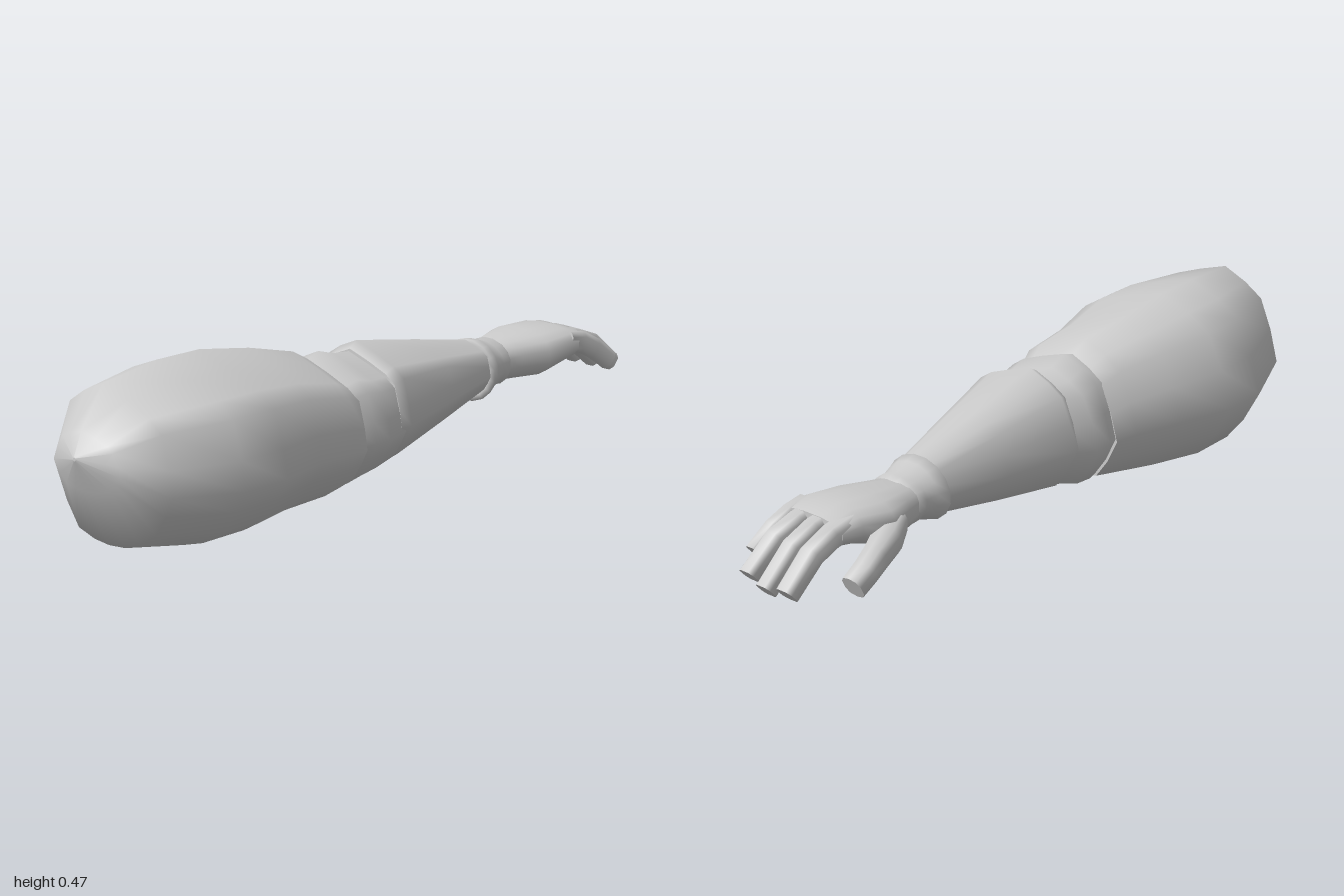
import * as THREE from 'three';

// Uneven arm outline and a regular one, both counter-clockwise seen from +z
const ARM = [[-0.12, 1], [-0.45, 0.85], [-0.71, 0.67], [-0.88, 0.25], [-1, -0.2], [-0.82, -0.6], [-0.62, -0.9], [-0.35, -0.98], [-0.1, -1],
  [0.18, -0.97], [0.43, -0.88], [0.71, -0.69], [0.88, -0.42], [1, -0.17], [0.95, 0.15], [0.84, 0.56], [0.64, 0.71], [0.28, 0.86]];
const regular = (n, power = 1) => Array.from({ length: n }, (_, i) => {
  const a = ((i + 0.5) / n) * Math.PI * 2, c = Math.cos(a), s = Math.sin(a);
  return [Math.sign(c) * Math.abs(c) ** power, Math.sign(s) * Math.abs(s) ** power];
});

const material = new THREE.MeshStandardMaterial({ color: 0xcccccc, side: THREE.DoubleSide });

// Skin over sections [z, cx, cy, rx, ry, tilt], running from +z to -z, with flat caps
function loft(name, outline, sections) {
  const n = outline.length, pos = [], index = [];
  const ring = ([z, cx, cy, rx, ry, tilt = 0]) => {
    for (const [px, py] of outline)
      pos.push(cx + px * rx, cy + py * ry * Math.cos(tilt), z - py * ry * Math.sin(tilt));
  };
  sections.forEach(ring);
  for (let i = 0; i < sections.length - 1; i++)
    for (let j = 0; j < n; j++) {
      const a = i * n + j, b = i * n + (j + 1) % n;
      index.push(a, a + n, b, b, a + n, b + n);
    }
  [sections[0], sections[sections.length - 1]].forEach((s, end) => {
    const base = pos.length / 3;
    ring(s);
    pos.push(s[1], s[2], s[0]);
    for (let j = 0; j < n; j++) {
      const a = base + j, b = base + (j + 1) % n;
      index.push(base + n, ...(end ? [b, a] : [a, b]));
    }
  });
  const g = new THREE.BufferGeometry();
  g.setAttribute('position', new THREE.Float32BufferAttribute(pos, 3));
  g.setIndex(index);
  g.computeVertexNormals();
  const mesh = new THREE.Mesh(g, material);
  mesh.name = name;
  return mesh;
}

export function createModel() {
  const model = new THREE.Group();
  model.name = 'arm';

  // Upper arm, from the rounded shoulder end to the elbow
  model.add(loft('upperArm', ARM, [
    [1.0, 0, 0.29, 0.005, 0.005],
    [0.965, 0, 0.275, 0.12, 0.075],
    [0.89, 0.01, 0.25, 0.215, 0.205],
    [0.7, 0, 0.24, 0.278, 0.234],
    [0.56, 0, 0.24, 0.278, 0.234],
    [0.4, 0.005, 0.235, 0.23, 0.215],
    [0.27, 0.03, 0.227, 0.205, 0.194],
    [0.21, 0.03, 0.215, 0.183, 0.172],
  ]));

  // Bulging elbow band
  model.add(loft('elbow', ARM, [
    [0.24, 0.03, 0.22, 0.17, 0.165],
    [0.18, 0.03, 0.226, 0.186, 0.18],
    [0.12, 0.025, 0.222, 0.186, 0.166],
    [0.05, 0.035, 0.23, 0.167, 0.155],
    [-0.02, 0.025, 0.24, 0.14, 0.13],
  ]));

  // Straight tapering forearm
  model.add(loft('forearm', ARM, [
    [0.07, 0.035, 0.238, 0.168, 0.155],
    [0.04, 0.031, 0.243, 0.179, 0.167],
    [-0.2, 0.012, 0.244, 0.13, 0.122],
    [-0.44, -0.005, 0.246, 0.08, 0.073],
  ]));

  // Flared wrist cuff
  model.add(loft('wristCuff', regular(16), [
    [-0.42, -0.005, 0.238, 0.08, 0.075],
    [-0.42, -0.006, 0.238, 0.104, 0.088],
    [-0.455, -0.01, 0.242, 0.09, 0.079],
    [-0.495, -0.014, 0.243, 0.082, 0.064],
    [-0.52, -0.016, 0.243, 0.084, 0.068],
    [-0.54, -0.018, 0.244, 0.07, 0.056],
  ]));

  const hand = new THREE.Group();
  hand.name = 'hand';
  model.add(hand);

  // Palm
  hand.add(loft('palm', regular(16, 0.8), [
    [-0.52, -0.02, 0.243, 0.075, 0.055],
    [-0.57, -0.021, 0.246, 0.087, 0.061],
    [-0.65, -0.015, 0.25, 0.118, 0.066],
    [-0.74, 0.003, 0.267, 0.11, 0.053],
    [-0.8, 0.008, 0.266, 0.104, 0.036],
  ]));

  // Four curled fingers: base x, tip x, tip z, tip y, half width
  [[-0.065, -0.066, -0.97, 0.172, 0.03], [-0.008, -0.006, -0.98, 0.168, 0.027],
    [0.05, 0.07, -0.96, 0.175, 0.027], [0.092, 0.115, -0.895, 0.2, 0.021]].forEach(([bx, tx, tz, ty, w], i) => {
    const length = tz + 0.76, mx = (bx + tx) / 2;
    hand.add(loft('finger' + (i + 1), regular(8, 0.7), [
      [-0.74, bx, 0.277, w * 0.9, 0.03, 0.1],
      [-0.76 + length * 0.25, bx, 0.268, w, 0.032, 0.25],
      [-0.76 + length * 0.58, mx, 0.244, w, 0.031, 0.5],
      [tz, tx, ty, w * 0.95, 0.028, 0.72],
    ]));
  });

  // Thumb, set lower and pointing outward
  hand.add(loft('thumb', regular(10, 0.8), [
    [-0.6, -0.08, 0.238, 0.045, 0.04],
    [-0.67, -0.12, 0.228, 0.046, 0.042, 0.2],
    [-0.74, -0.147, 0.214, 0.036, 0.037, 0.35],
    [-0.79, -0.157, 0.194, 0.034, 0.034, 0.45],
    [-0.835, -0.156, 0.168, 0.032, 0.033, 0.45],
  ]));

  return model;
}
